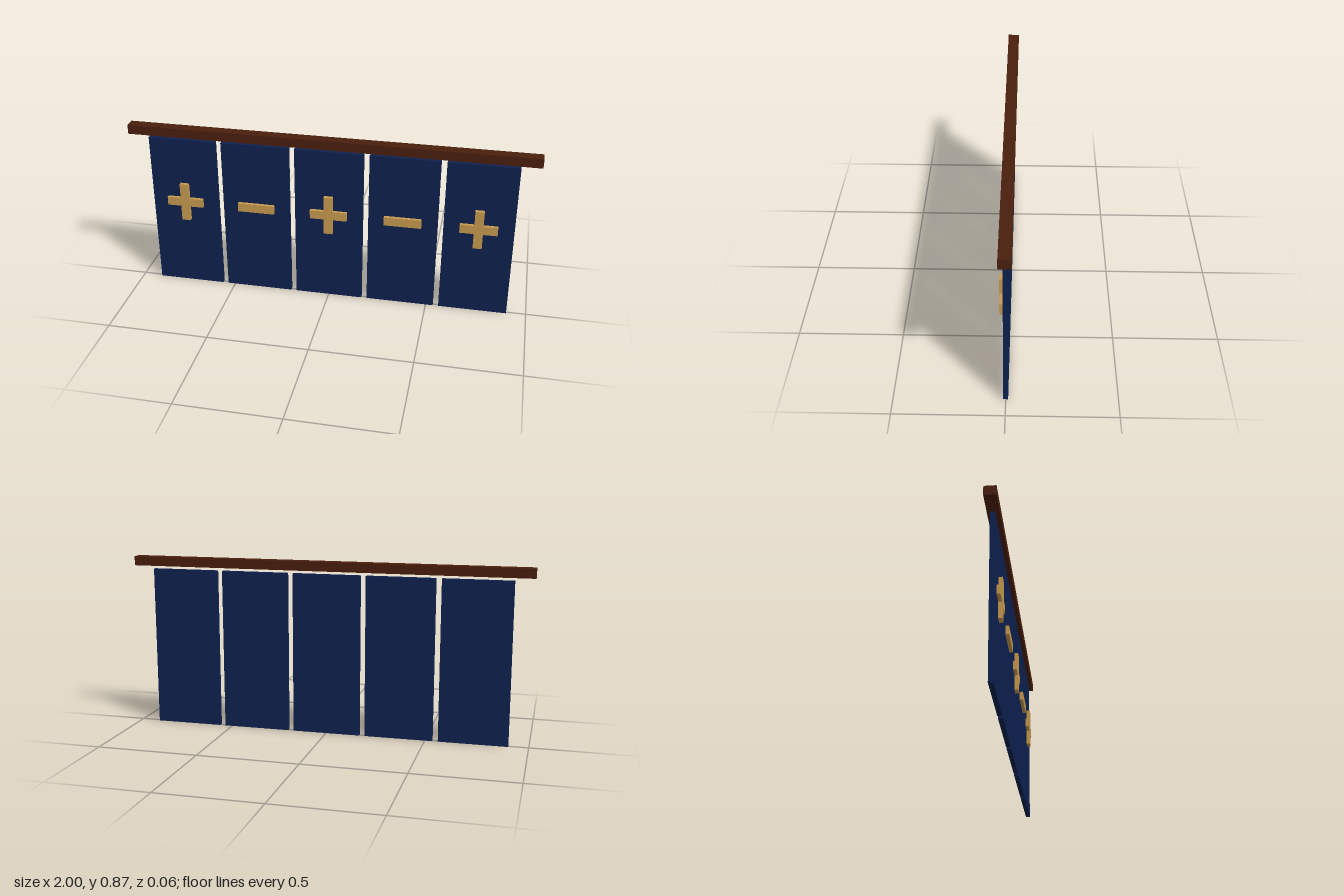
import * as THREE from 'three';

export function createModel() {
  const model = new THREE.Group();
  const wood = new THREE.MeshStandardMaterial({ color: 0x4a1f0e });
  wood.name = 'dark wood';
  const cloth = new THREE.MeshStandardMaterial({ color: 0x0e2150 });
  cloth.name = 'navy cloth';
  const gold = new THREE.MeshStandardMaterial({ color: 0xc99b50 });
  gold.name = 'gold';

  function box(name, material, size, position, parent = model) {
    const mesh = new THREE.Mesh(new THREE.BoxGeometry(...size), material);
    mesh.name = name;
    mesh.position.set(...position);
    parent.add(mesh);
  }

  // Rail above the hanging panels
  box('rail', wood, [2, 0.046, 0.056], [0, 0.842, 0]);

  // Five panels with alternating cross and bar emblems
  for (let i = 0; i < 5; i++) {
    const banner = new THREE.Group();
    banner.name = 'banner' + (i + 1);
    banner.position.x = (i - 2) * 0.367;
    model.add(banner);
    box('panel', cloth, [0.339, 0.802, 0.022], [0, 0.401, 0], banner);
    box('emblemBar', gold, [0.183, 0.044, 0.017], [0, 0.466, 0.0195], banner);
    if (i % 2 === 0) {
      box('emblemUpright', gold, [0.044, 0.2, 0.019], [0, 0.466, 0.0205], banner);
    }
  }
  return model;
}
